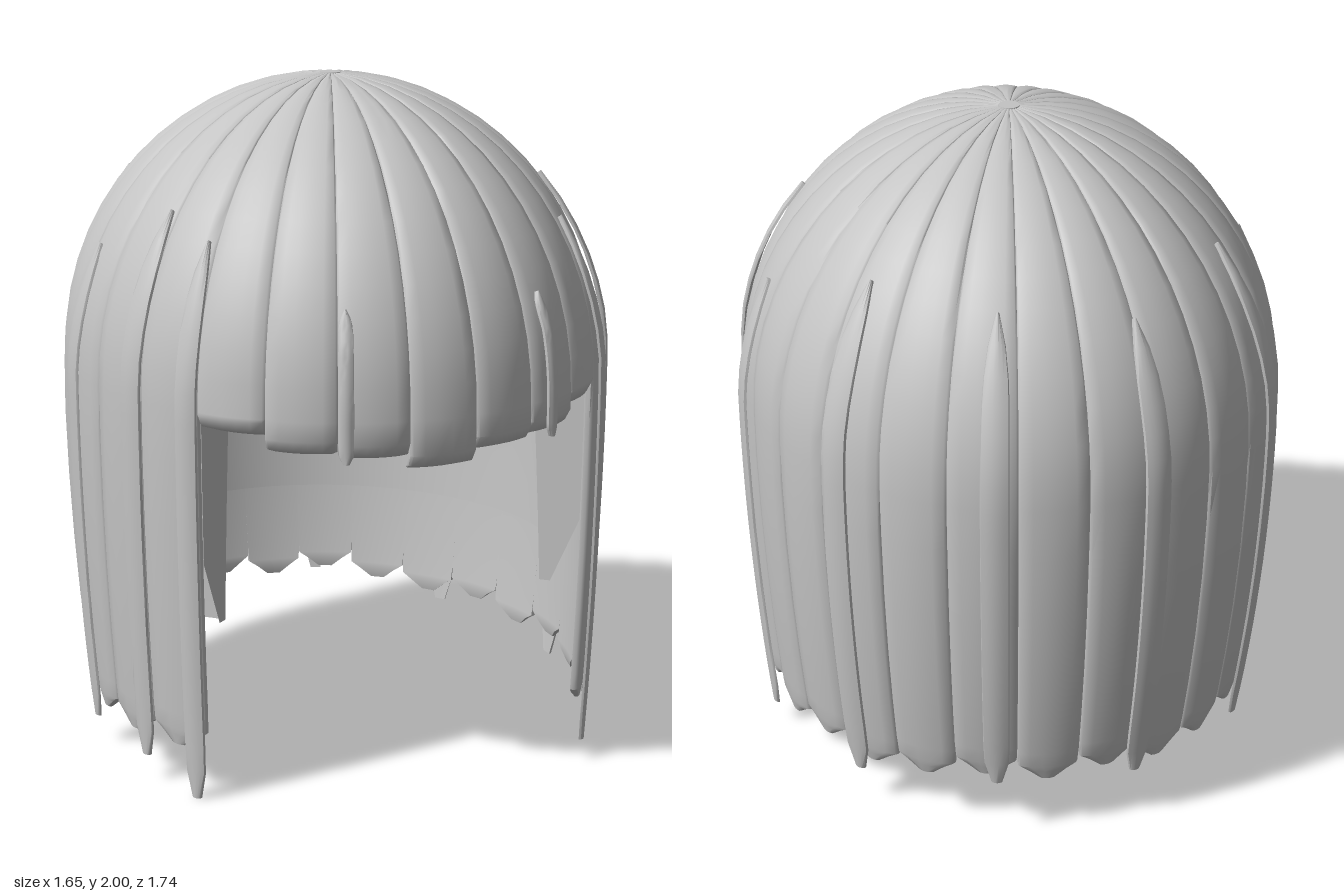
import * as THREE from 'three';
import { toCreasedNormals } from 'three/addons/utils/BufferGeometryUtils.js';

const RX = 0.792, RZ = 0.862, MID = 1.15, DOME = 0.845; // head ellipse and dome
const COUNT = 25, STEP = (Math.PI * 2) / COUNT, RAD = Math.PI / 180;

const hair = new THREE.MeshStandardMaterial({ color: 0xc4c4c4, side: THREE.DoubleSide });
hair.name = 'hair grey';

// relative radius of the head shape at a height; the back tapers in more than the front
function radiusAt(angle, y) {
  const q = (y - MID) / DOME;
  if (q > 0) return Math.sqrt(Math.max(0, 1 - q * q));
  return 1 - (0.045 - 0.035 * Math.cos(angle)) * q * q;
}

// point on the head shape, pushed out along its normal
function onHead(angle, y, offset, scale = 1) {
  const r = radiusAt(angle, y), up = Math.max(0, (y - MID) / DOME);
  const flat = Math.sqrt(1 - up * up);
  return [
    Math.sin(angle) * (RX * r * scale + offset * flat),
    y + offset * up,
    Math.cos(angle) * (RZ * r * scale + offset * flat),
  ];
}

// closed lock of hair; rows run downward: { y, half (angle), lift, bulge, thick, scale }
function lockGeometry(center, rows) {
  const us = [-1, -0.93, -0.6, -0.2, 0.2, 0.6, 0.93, 1];
  const n = us.length * 2, pos = [], index = [];
  for (const { y, half, lift = 0, bulge, thick, scale = 1 } of rows) {
    for (const u of us) {
      const edge = Math.abs(u) === 1 ? -0.6 : 1 - u * u;
      pos.push(...onHead(center + u * half, y, lift + bulge * edge, scale));
    }
    for (const u of [...us].reverse()) pos.push(...onHead(center + u * half, y, lift - thick, scale));
  }
  for (let j = 0; j < rows.length - 1; j++) {
    for (let k = 0; k < n; k++) {
      const a = j * n + k, b = j * n + (k + 1) % n;
      index.push(a, a + n, b, b, a + n, b + n);
    }
  }
  const end = (rows.length - 1) * n;
  for (let k = 1; k < n - 1; k++) index.push(0, k, k + 1, end, end + k + 1, end + k);
  const g = new THREE.BufferGeometry();
  g.setAttribute('position', new THREE.Float32BufferAttribute(pos, 3));
  g.setIndex(index);
  return toCreasedNormals(g, 0.8);
}

// rows shared by all main locks: crown to widest level
function domeRows() {
  const rows = [];
  for (let k = 0; k <= 14; k++) {
    const phi = (87.8 * (1 - k / 14)) * RAD;
    const r = Math.cos(phi);
    rows.push({ y: MID + DOME * Math.sin(phi), half: STEP / 2, bulge: 0.002 + 0.007 * r, thick: 0.02 });
  }
  return rows;
}

// fringe lock curling inward at the end
function fringeRows(tip) {
  const base = { half: STEP / 2, bulge: 0.01, thick: 0.02 };
  return [...domeRows(),
    { ...base, y: tip + 0.05 },
    { ...base, y: tip + 0.018, scale: 0.98, half: STEP * 0.495 },
    { ...base, y: tip, scale: 0.92, half: STEP * 0.45, thick: 0.01 }];
}

// long lock with a stepped, blunt point
function longRows(tip) {
  const base = { half: STEP / 2, bulge: 0.012, thick: 0.02 };
  return [...domeRows(),
    ...[1, 0.8, 0.6, 0.42, tip + 0.1].map((y) => ({ ...base, y })),
    { ...base, y: tip + 0.05, half: STEP * 0.49 },
    { ...base, y: tip + 0.03, half: STEP * 0.32, bulge: 0.01 },
    { ...base, y: tip, half: STEP * 0.12, bulge: 0.006, thick: 0.008 }];
}

// thin loose strand floating just outside the main locks
function strandRows(top, tip, half) {
  const rows = [];
  const len = top - tip;
  for (let k = 0; k <= 20; k++) {
    const t = k / 20;
    const w = Math.min(1, 0.15 + Math.sqrt(t / 0.12) * 0.85, 0.45 + (1 - t) * 10);
    rows.push({
      y: top - len * t, half: half * w,
      lift: 0.012 + 0.013 * Math.min(1, t * 4), bulge: 0.008, thick: 0.006,
    });
  }
  return rows;
}

// inner cap band, folded back beside the face opening
function liningGeometry() {
  const cols = 40, levels = [1.35, 1.1, 0.9, 0.7, 0.5], last = levels.length - 1;
  const g = new THREE.PlaneGeometry(1, 1, cols, last);
  const p = g.attributes.position, open = STEP * 3.5;
  for (let j = 0; j <= last; j++) {
    const inner = 0.765 + 0.016 * j;
    for (let i = 0; i <= cols; i++) {
      const side = Math.min(i, cols - i);
      const fold = side === 0;
      const ease = Math.min(1, (Math.max(0, side - 1) / (cols - 1)) * 5);
      let scale = inner + (0.95 - inner) * Math.sin(ease * Math.PI / 2);
      if (fold || j === 0) scale = 0.97;
      if (fold && j === last) scale = 0.87;
      const along = Math.min(1, Math.max(0, (i - 1) / (cols - 2)));
      const angle = open + (Math.PI * 2 - open * 2) * along;
      p.setXYZ(j * (cols + 1) + i, ...onHead(angle, levels[j], 0, scale));
    }
  }
  return toCreasedNormals(g, 0.7);
}

export function createModel() {
  const model = new THREE.Group();
  model.name = 'bobHair';
  const add = (geometry, name) => {
    const mesh = new THREE.Mesh(geometry, hair);
    mesh.name = name;
    model.add(mesh);
    return mesh;
  };

  // main locks around the head, short over the face
  const fringeTips = [1.0, 1.035, 1.045, 1.09];
  const jitter = [0, 0.02, -0.01, 0.01, -0.01];
  for (let i = -12; i <= 12; i++) {
    const k = Math.abs(i);
    if (k <= 3) add(lockGeometry(i * STEP, fringeRows(fringeTips[k])), 'fringeLock');
    else {
      const tip = 0.12 + 0.085 * (k - 4) / 8 + jitter[(i + 15) % 5];
      add(lockGeometry(i * STEP, longRows(tip)), 'longLock');
    }
  }

  // loose strands: angle, top, tip, half width
  const strands = [
    [52, 1.6, 0.0, 0.042], [-52, 1.6, 0.0, 0.042],
    [66, 1.7, 0.08, 0.047], [-66, 1.66, 0.08, 0.047],
    [90, 1.53, 0.08, 0.052], [-89, 1.53, 0.09, 0.052],
    [127, 1.68, 0.13, 0.052], [-128, 1.68, 0.13, 0.052],
    [161, 1.66, 0.2, 0.05], [-166, 1.62, 0.18, 0.05],
    [26, 1.45, 1.05, 0.026], [-20, 1.45, 1.04, 0.026],
  ];
  for (const [deg, top, tip, half] of strands) {
    add(lockGeometry(deg * RAD, strandRows(top, tip, half)), 'looseStrand');
  }

  // crown plug and inner cap
  const crown = add(new THREE.CylinderGeometry(0.031, 0.034, 0.02, 20), 'crown');
  crown.position.y = 1.988;
  add(liningGeometry(), 'innerCap');
  return model;
}
